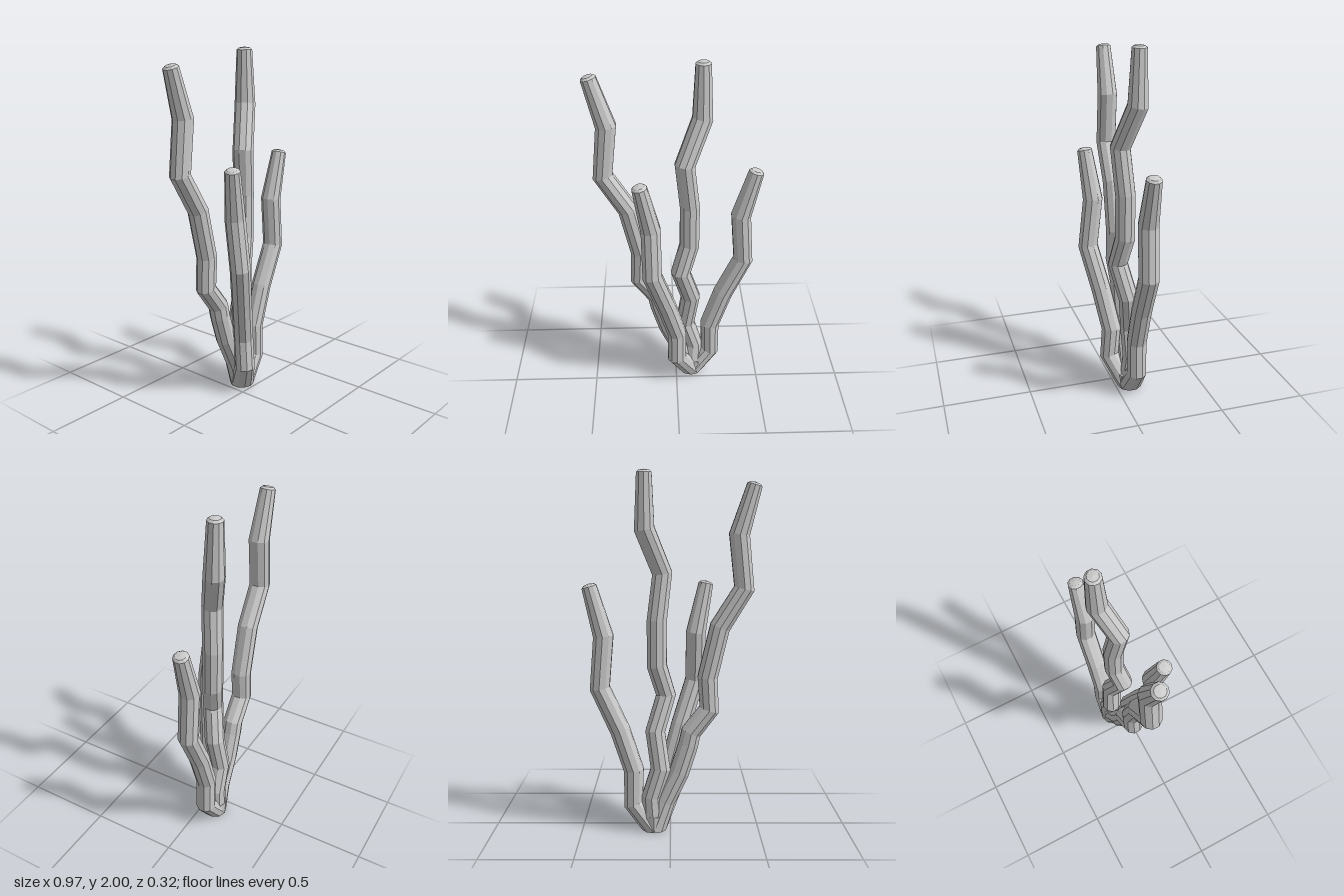
import * as THREE from 'three';

const SIDES = 10;
const UP = new THREE.Vector3(0, 1, 0);
const ROOT = [0.092, 0, -0.083];

// Each branch: joint centres [x, y, z] from the shared root to the tip.
const BRANCHES = {
  tallBranch: [[0.105, 0.2, -0.095], [0.055, 0.36, -0.095], [0.085, 0.57, -0.075], [0.025, 0.77, -0.03],
    [0.075, 0.94, -0.056], [0.075, 1.19, -0.056], [0.045, 1.45, -0.035], [0.14, 1.69, -0.1], [0.14, 1.985, -0.105]],
  rightBranch: [[0.03, 0.17, -0.085], [-0.05, 0.34, -0.087], [-0.1, 0.5, -0.087], [-0.115, 0.57, -0.087],
    [-0.215, 0.7, -0.087], [-0.205, 0.88, -0.087], [-0.27, 1.16, -0.087], [-0.4, 1.37, -0.087],
    [-0.37, 1.66, -0.087], [-0.448, 1.92, -0.087]],
  leftBranch: [[0.208, 0.155, -0.087], [0.205, 0.35, -0.087], [0.28, 0.58, -0.087],
    [0.39, 0.82, -0.087], [0.367, 1.11, -0.087], [0.441, 1.38, -0.087]],
  frontBranch: [[0.002, 0.18, 0.015], [0.003, 0.35, 0.003], [-0.06, 0.58, 0.045],
    [-0.14, 0.83, 0.1], [-0.144, 1.11, 0.068], [-0.2, 1.385, 0.098]],
};

// Sweep a faceted tube along the joints, with a flat foot and a domed tip.
function branchGeometry(joints) {
  const pts = [ROOT, ...joints].map((p) => new THREE.Vector3(...p));
  const last = pts.length - 1;
  const rings = pts.map((centre, i) => {
    const tangent = new THREE.Vector3();
    if (i > 0) tangent.add(centre.clone().sub(pts[i - 1]).normalize());
    if (i < last) tangent.add(pts[i + 1].clone().sub(centre).normalize());
    if (i === 0) tangent.copy(UP);
    const radius = i === 0 ? 0.07 : i === last ? 0.043 : 0.058;
    return { centre, tangent: tangent.normalize(), radius };
  });
  // Dome: a smaller ring, then a point
  const tip = rings[last];
  for (const [rise, radius] of [[0.011, 0.03], [0.016, 0]]) {
    rings.push({ centre: tip.centre.clone().addScaledVector(tip.tangent, rise), tangent: tip.tangent, radius });
  }
  // Foot: closing point
  rings.unshift({ centre: pts[0], tangent: UP, radius: 0 });

  const positions = [];
  const index = [];
  rings.forEach(({ centre, tangent, radius }, r) => {
    const turn = new THREE.Quaternion().setFromUnitVectors(UP, tangent);
    for (let s = 0; s < SIDES; s++) {
      const a = (s / SIDES) * Math.PI * 2;
      const v = new THREE.Vector3(Math.sin(a), 0, Math.cos(a)).multiplyScalar(radius);
      positions.push(...v.applyQuaternion(turn).add(centre).toArray());
      if (r === 0) continue;
      const n = (s + 1) % SIDES;
      const [a0, b0, a1, b1] = [(r - 1) * SIDES + s, (r - 1) * SIDES + n, r * SIDES + s, r * SIDES + n];
      if (r > 1) index.push(a0, b0, b1);
      if (r < rings.length - 1) index.push(a0, b1, a1);
    }
  });
  const geometry = new THREE.BufferGeometry();
  geometry.setAttribute('position', new THREE.Float32BufferAttribute(positions, 3));
  geometry.setIndex(index);
  geometry.computeVertexNormals();
  return geometry;
}

export function createModel() {
  const group = new THREE.Group();
  group.name = 'branchingCoral';
  const material = new THREE.MeshStandardMaterial({ color: 0xcccccc, flatShading: true });
  for (const [name, joints] of Object.entries(BRANCHES)) {
    const mesh = new THREE.Mesh(branchGeometry(joints), material);
    mesh.name = name;
    group.add(mesh);
  }
  // Short stub that joins the branches at the ground
  const stub = new THREE.Mesh(new THREE.CylinderGeometry(0.074, 0.07, 0.09, SIDES), material);
  stub.name = 'baseStub';
  stub.position.set(ROOT[0], 0.045, ROOT[2]);
  group.add(stub);
  return group;
}
